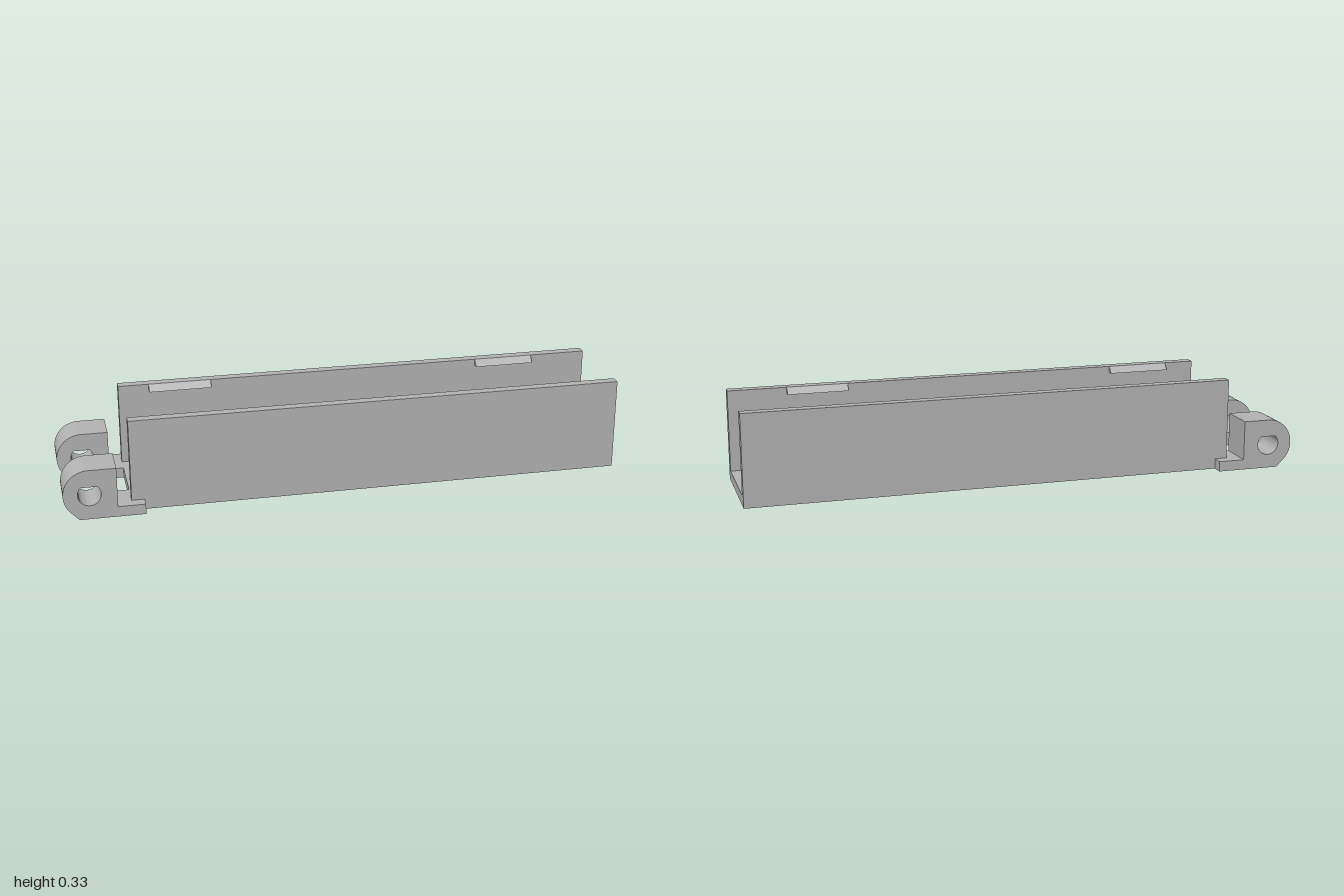
import * as THREE from 'three';
import { toCreasedNormals } from 'three/addons/utils/BufferGeometryUtils.js';

const shapeOf = (points) => new THREE.Shape(points.map(([x, y]) => new THREE.Vector2(x, y)));
const extrude = (shape, depth) =>
  new THREE.ExtrudeGeometry(shape, { depth, bevelEnabled: false, curveSegments: 32 });

// Extrudes a (z, y) cross-section along x, from x0 to x1
function alongX(points, x0, x1) {
  const shape = shapeOf(points.map(([z, y]) => [-z, y]));
  return extrude(shape, x1 - x0).rotateY(Math.PI / 2).translate(x0, 0, 0);
}

export function createModel() {
  const model = new THREE.Group();
  model.name = 'hingedCableChannel';
  const grey = new THREE.MeshStandardMaterial({ color: 0xb4b4b4 });
  grey.name = 'grey plastic';

  const add = (name, geometry) => {
    const mesh = new THREE.Mesh(geometry, grey);
    mesh.name = name;
    model.add(mesh);
  };

  // Open U-shaped channel
  const outer = 0.191, inner = 0.155, top = 0.33, floor = 0.037;
  add('channel', alongX([
    [-outer, 0], [outer, 0], [outer, top], [inner, top],
    [inner, floor], [-inner, floor], [-inner, top], [-outer, top],
  ], -0.765, 1));

  // Wedge clips along the inner top edges
  for (const side of [-1, 1]) {
    for (const [x0, x1] of [[-0.655, -0.43], [0.57, 0.79]]) {
      add(side > 0 ? 'frontClip' : 'backClip', alongX([
        [side * inner, top], [side * inner, 0.307], [side * 0.132, 0.307],
      ], x0, x1));
    }
  }

  // Hinge lug profile: rounded end, 45 degree lower chamfer and a foot plate
  const cx = -0.91, cy = 0.09, r = 0.09, holeR = 0.04;
  const lug = new THREE.Shape();
  lug.moveTo(cx - r * (Math.SQRT2 - 1), 0);
  lug.lineTo(-0.72, 0);
  lug.lineTo(-0.72, 0.037);
  lug.lineTo(-0.815, 0.037);
  lug.lineTo(-0.815, cy + r);
  lug.lineTo(cx, cy + r);
  lug.absarc(cx, cy, r, Math.PI / 2, Math.PI * 1.25, false);
  lug.closePath();

  // Teardrop pin hole
  const hole = new THREE.Path();
  hole.moveTo(cx, cy + holeR * Math.SQRT2);
  hole.absarc(cx, cy, holeR, Math.PI * 0.75, Math.PI * 2.25, false);
  hole.closePath();
  lug.holes.push(hole);

  const z0 = 0.098, z1 = 0.233;
  for (const [name, z] of [['frontHingeLug', z0], ['backHingeLug', -z1]]) {
    add(name, toCreasedNormals(extrude(lug, z1 - z0).translate(0, 0, z), 0.5));
  }

  return model;
}
